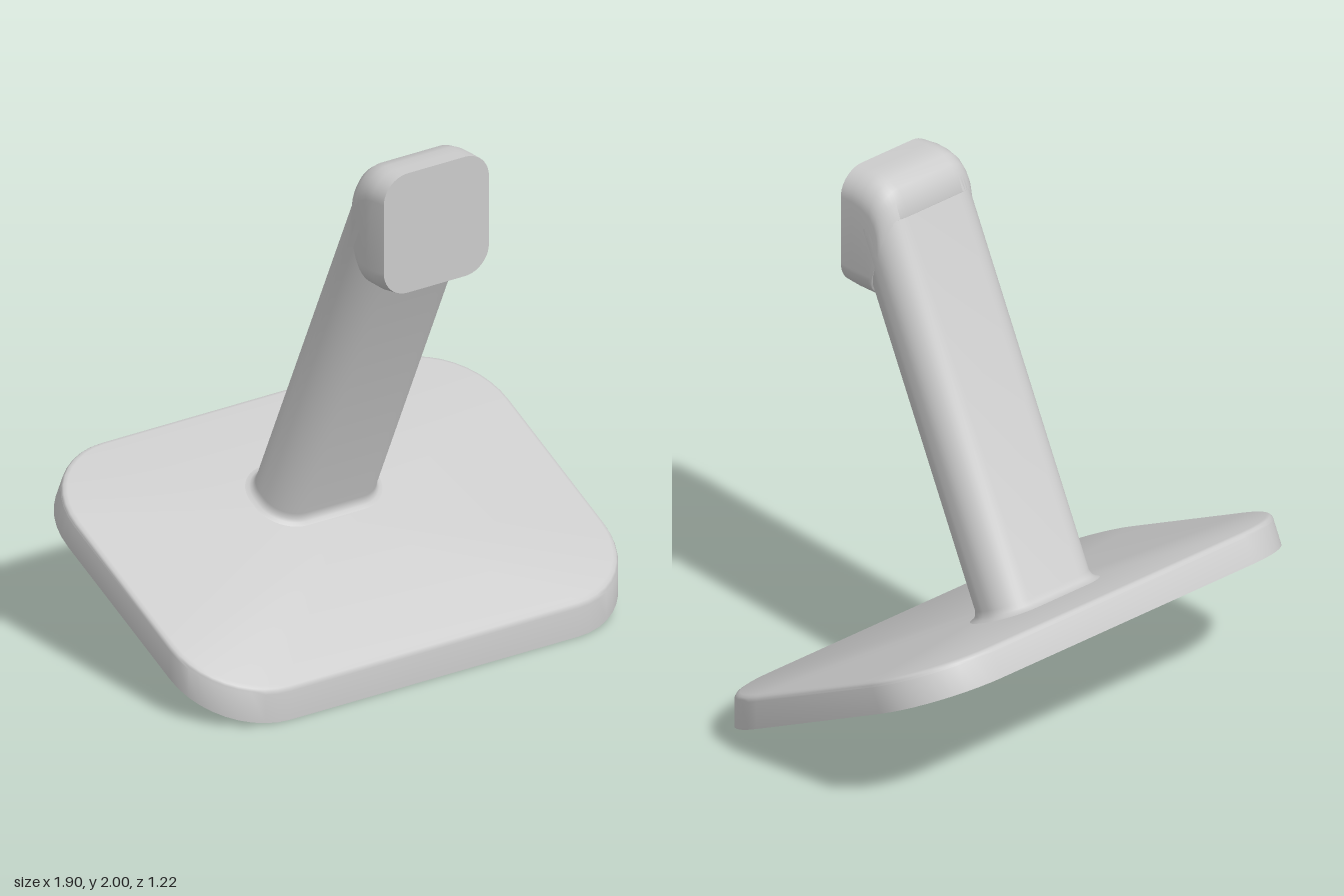
import * as THREE from 'three';
import { toCreasedNormals } from 'three/addons/utils/BufferGeometryUtils.js';

const TILT = 0.434; // slope of the base plate
const THICK = 0.12;
const material = new THREE.MeshStandardMaterial({ color: 0xcccccc });

// Rounded rectangle as [x, z] points; the front and back corners may be elliptical
function roundedLoop(hx, hz, r, rFront = r, rBack = r, steps = 10) {
  const points = [];
  for (let q = 0; q < 4; q++) {
    const sx = q === 0 || q === 3 ? 1 : -1;
    const sz = q < 2 ? 1 : -1;
    const rz = sz > 0 ? rFront : rBack;
    for (let i = 0; i <= steps; i++) {
      const a = (q + i / steps) * Math.PI / 2;
      points.push([sx * (hx - r) + r * Math.cos(a), sz * (hz - rz) + rz * Math.sin(a)]);
    }
  }
  return points;
}

// Closed solid through a list of rings, capped at both ends
function loft(rings, crease = 0.6) {
  const n = rings[0].length;
  const pos = [];
  const tri = (...pts) => pts.forEach((p) => pos.push(p.x, p.y, p.z));
  const middle = (ring) => ring.reduce((s, p) => s.add(p), new THREE.Vector3()).divideScalar(n);
  const first = rings[0], last = rings[rings.length - 1];
  const c0 = middle(first), c1 = middle(last);
  for (let j = 0; j < n; j++) {
    const k = (j + 1) % n;
    for (let i = 0; i + 1 < rings.length; i++) {
      const lo = rings[i], up = rings[i + 1];
      tri(lo[j], up[j], up[k]);
      tri(lo[j], up[k], lo[k]);
    }
    tri(c0, first[j], first[k]);
    tri(c1, last[k], last[j]);
  }
  const geometry = new THREE.BufferGeometry();
  geometry.setAttribute('position', new THREE.Float32BufferAttribute(pos, 3));
  return toCreasedNormals(geometry, crease);
}

function addMesh(parent, name, geometry) {
  const mesh = new THREE.Mesh(geometry, material);
  mesh.name = name;
  parent.add(mesh);
  return mesh;
}

// Base plate: square rim at the back, rim cut upright at the front, softened top edge
function plateGeometry() {
  const layers = [[0, 0], [THICK - 0.02, 0], [THICK - 0.012, 0.002], [THICK - 0.005, 0.007], [THICK, 0.02]];
  return loft(layers.map(([y, inset]) =>
    roundedLoop(0.95 - inset, 0.667 - inset, 0.32 - inset).map(([x, z]) =>
      new THREE.Vector3(x, y, z > 0 ? z - y * Math.tan(TILT) : z))));
}

// Post: straight rounded bar with a small fillet at its foot
function postGeometry() {
  const layers = [[THICK - 0.02, 0.03], [THICK, 0.03], [0.126, 0.016], [0.136, 0.006], [0.155, 0], [1.6, 0]];
  return loft(layers.map(([y, flare]) =>
    roundedLoop(0.235 + flare, 0.124 + flare, 0.11 + flare).map(([x, z]) =>
      new THREE.Vector3(x, y, z - 0.206))));
}

// Head: turns from the post to an upright front face
function headGeometry() {
  // lower z, y; upper z, y; corner height at the top; right edge
  const sections = [
    [0.47, 1.56, 0.372, 1.87, 0.16, -0.235],
    [0.475, 1.535, 0.398, 1.935, 0.14, -0.235],
    [0.48, 1.53, 0.42, 1.965, 0.13, -0.235],
    [0.49, 1.53, 0.455, 1.99, 0.12, -0.235],
    [0.51, 1.53, 0.505, 2.0, 0.11, -0.235],
    [0.55, 1.53, 0.55, 2.0, 0.1, -0.235],
    [0.605, 1.535, 0.605, 2.0, 0.1, -0.225],
  ];
  return loft(sections.map(([fz, fy, kz, ky, rTop, xr]) => {
    const length = Math.hypot(fz - kz, fy - ky);
    const xl = 0.235;
    return roundedLoop((xl - xr) / 2, length / 2, 0.105, 0.1, rTop).map(([x, s]) => {
      const t = s / length + 0.5;
      return new THREE.Vector3(x + (xl + xr) / 2, ky + (fy - ky) * t, kz + (fz - kz) * t);
    });
  }), 0.7);
}

export function createModel() {
  const model = new THREE.Group();
  model.name = 'stand';

  const tilted = new THREE.Group();
  tilted.name = 'tiltedStand';
  tilted.position.set(0, 0.28, -0.005);
  tilted.rotation.x = TILT;
  model.add(tilted);

  addMesh(tilted, 'basePlate', plateGeometry());
  addMesh(tilted, 'post', postGeometry());

  // Thin round pads under the plate
  const pad = new THREE.CylinderGeometry(0.06, 0.06, 0.01, 32);
  for (const sx of [-1, 1]) {
    for (const sz of [-1, 1]) {
      addMesh(tilted, 'footPad', pad).position.set(sx * 0.775, 0.002, sz * 0.355);
    }
  }

  addMesh(model, 'head', headGeometry());
  return model;
}
